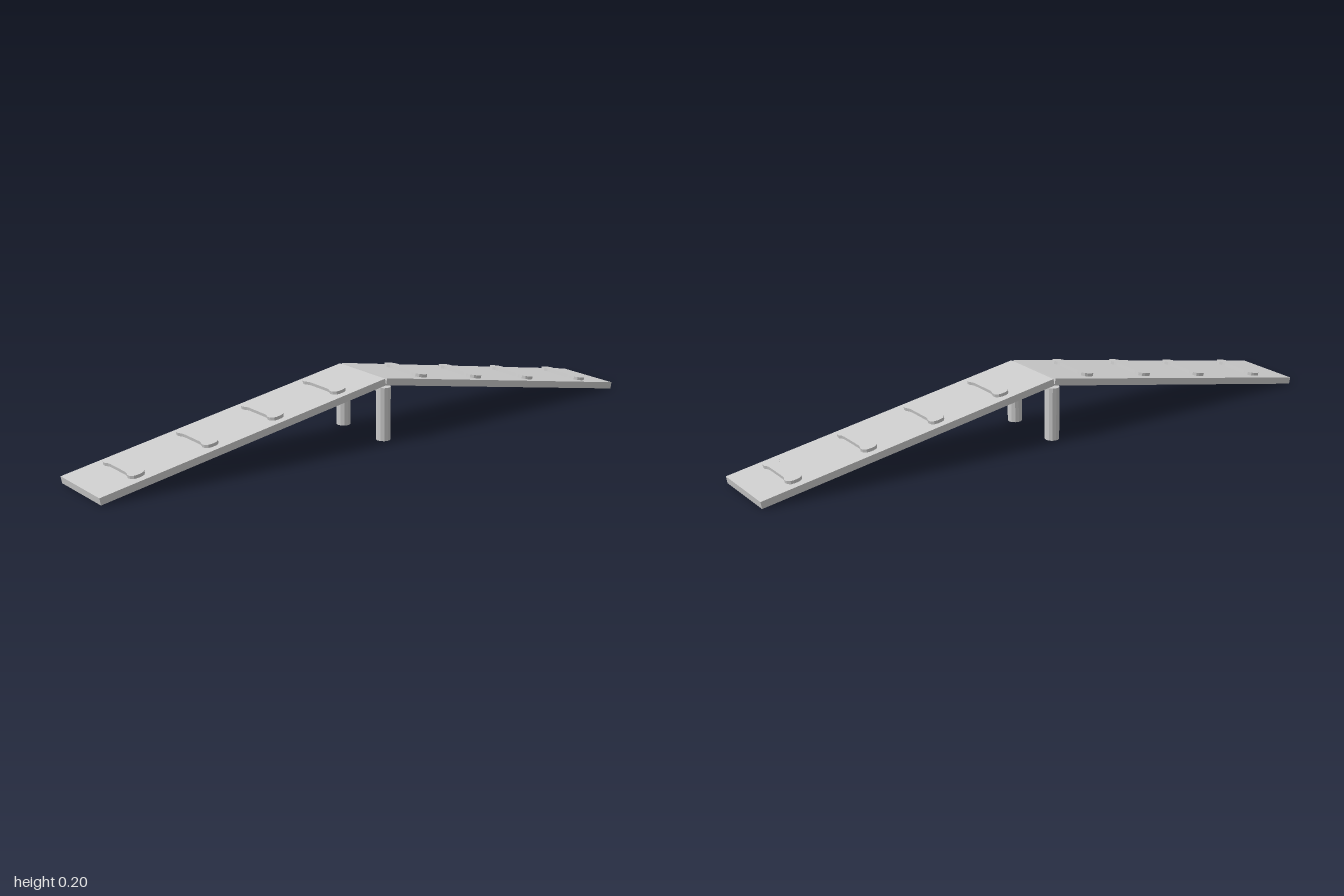
import * as THREE from 'three';

const material = new THREE.MeshStandardMaterial({ color: 0xcccccc, flatShading: true });

function addMesh(parent, name, geometry, x = 0, y = 0, z = 0) {
  const mesh = new THREE.Mesh(geometry, material);
  mesh.name = name;
  mesh.position.set(x, y, z);
  parent.add(mesh);
  return mesh;
}

// Sloping board, drawn as a side profile and extruded across the width
function boardGeometry() {
  const profile = new THREE.Shape([
    [0, 0.178], [0.996, 0], [1, 0.022], [0.004, 0.2],
  ].map(([x, y]) => new THREE.Vector2(x, y)));
  const width = 0.236;
  return new THREE.ExtrudeGeometry(profile, { depth: width, bevelEnabled: false })
    .translate(0, 0, -width / 2);
}

// Bone-shaped foothold: one quarter outline mirrored into a closed loop
function cleatGeometry() {
  const quarter = [[0.018, 0.045], [0.02, 0.056], [0.025, 0.067], [0.024, 0.08], [0.016, 0.09], [0.006, 0.093]];
  const half = [...quarter, ...quarter.map(([x, y]) => [-x, y]).reverse()];
  const outline = [...half, ...half.map(([x, y]) => [-x, -y])];
  const shape = new THREE.Shape(outline.map(([x, y]) => new THREE.Vector2(x, y)));
  return new THREE.ExtrudeGeometry(shape, { depth: 0.014, bevelEnabled: false })
    .rotateX(-Math.PI / 2).translate(0, -0.004, 0);
}

export function createModel() {
  const model = new THREE.Group();
  model.name = 'ramp';
  const slope = Math.atan2(0.178, 0.996);
  const board = boardGeometry();
  const cleat = cleatGeometry();

  // Two boards meeting at the ridge, each with four footholds
  const sides = [
    ['left', 0, [0.17, 0.4, 0.63, 0.875]],
    ['right', Math.PI, [0.152, 0.382, 0.612, 0.858]],
  ];
  for (const [side, turn, places] of sides) {
    const ramp = new THREE.Group();
    ramp.name = side + 'Ramp';
    ramp.rotation.y = turn;
    addMesh(ramp, 'board', board);
    for (const x of places) {
      const y = 0.2 - (x - 0.004) * Math.tan(slope);
      addMesh(ramp, 'foothold', cleat, x, y, 0).rotation.z = -slope;
    }
    model.add(ramp);
  }

  // Support under the ridge: two round posts joined by a crossbar
  const support = new THREE.Group();
  support.name = 'support';
  const post = new THREE.CylinderGeometry(0.023, 0.023, 0.172, 12);
  for (const s of [-1, 1]) addMesh(support, 'post', post, 0, 0.086, s * 0.105);
  addMesh(support, 'crossbar', new THREE.BoxGeometry(0.02, 0.024, 0.2), 0, 0.166, 0);
  model.add(support);
  return model;
}
